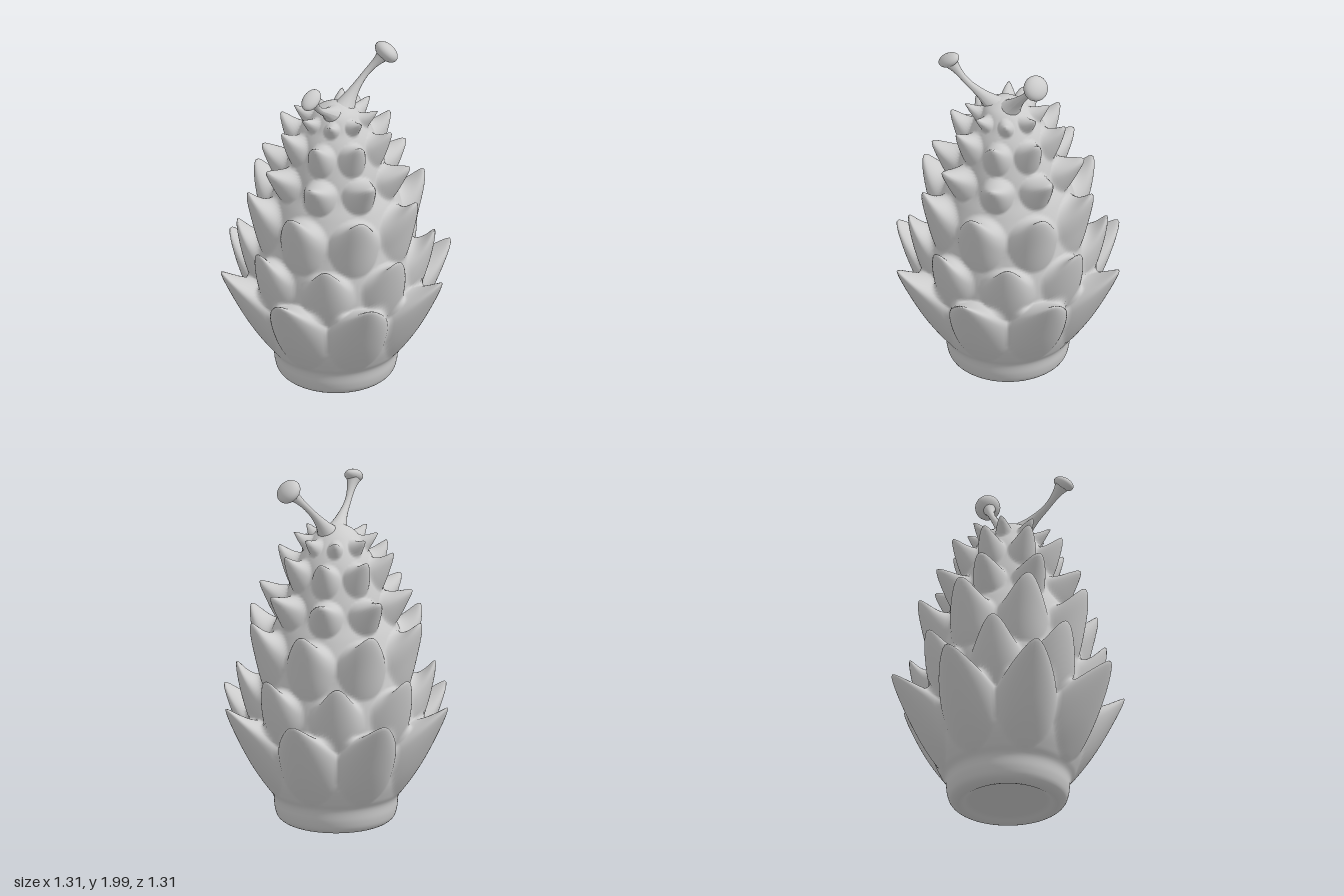
import * as THREE from 'three';

const RAD = Math.PI / 180;
const material = new THREE.MeshStandardMaterial({ color: 0xcccccc });

// Body outline without spikes: [radius, height]
const outline = [
  [0, 0.035], [0.2, 0.03], [0.25, 0.012], [0.28, 0.005], [0.32, 0.03], [0.337, 0.08], [0.345, 0.15],
  [0.375, 0.2], [0.415, 0.3], [0.44, 0.45], [0.445, 0.6], [0.43, 0.75], [0.4, 0.9], [0.385, 1.0],
  [0.34, 1.12], [0.29, 1.22], [0.265, 1.32], [0.24, 1.4], [0.205, 1.5], [0.165, 1.57],
  [0.14, 1.61], [0.1, 1.655], [0.04, 1.685], [0, 1.69],
];

// Eight spikes per tier. y/r: root on the body, tipY/tipR: tip, turn: degrees to the
// first spike, half: half width in degrees, below/above: reach of the root,
// round: bluntness of the tip, curl: how much the spike bends upwards
const tiers = [
  { y: 0.45, r: 0.44, tipY: 0.71, tipR: 0.66, turn: 3, half: 24, below: 0.27, above: 0.17, round: 0.12, curl: 1.1 },
  { y: 0.71, r: 0.437, tipY: 0.905, tipR: 0.55, turn: 25, half: 20, below: 0.2, above: 0.13, round: 0.35, curl: 1.5 },
  { y: 1.0, r: 0.385, tipY: 1.18, tipR: 0.505, turn: 2, half: 22, below: 0.2, above: 0.12, round: 0.3, curl: 1.5 },
  { y: 1.25, r: 0.282, tipY: 1.345, tipR: 0.43, turn: 13, half: 20, below: 0.11, above: 0.08, round: 0.2, curl: 1.3 },
  { y: 1.45, r: 0.222, tipY: 1.555, tipR: 0.325, turn: 10, half: 21, below: 0.11, above: 0.07, round: 0.2, curl: 1.4 },
  { y: 1.595, r: 0.15, tipY: 1.655, tipR: 0.235, turn: 23, half: 17, below: 0.045, above: 0.035, round: 0.05, curl: 1.3 },
];

// 1 at the middle of the nearest spike of a tier, falling to 0 at the edge of its root
function spikeWeight(t, degrees, y) {
  const a = degrees - t.turn;
  const across = (a - 45 * Math.round(a / 45)) / t.half;
  const up = (y - t.y) / (y < t.y ? t.below : t.above);
  const d = Math.hypot(across, up);
  if (d >= 1) return 0;
  const e = t.round;
  const w = 1 - (Math.hypot(d, e) - e) / (Math.hypot(1, e) - e);
  return Math.pow(w, 1.1);
}

// One continuous skin whose spikes are pulled outwards and upwards
function bodyGeometry() {
  const around = 192, rows = 170;
  const curve = new THREE.SplineCurve(outline.map(([r, y]) => new THREE.Vector2(r, y)));
  curve.arcLengthDivisions = 1000;
  const positions = [], index = [];
  curve.getSpacedPoints(rows).forEach((p) => {
    for (let j = 0; j < around; j++) {
      const degrees = (j * 360) / around;
      let r = Math.max(p.x, 0), y = p.y;
      if (p.y > 0.15) {
        for (const t of tiers) {
          const w = spikeWeight(t, degrees, p.y);
          r += (t.tipR - t.r) * Math.pow(w, 0.95);
          y += (t.tipY - t.y) * Math.pow(w, t.curl);
        }
      }
      // the crown leans slightly to the front, where the stalks spread
      const lean = 0.02 * THREE.MathUtils.smoothstep(p.y, 1.55, 1.69);
      positions.push(r * Math.sin(degrees * RAD) + lean * 0.5, y, r * Math.cos(degrees * RAD) + lean);
    }
  });
  for (let i = 0; i < rows; i++) {
    for (let j = 0; j < around; j++) {
      const k = (j + 1) % around;
      const a = i * around + j, b = i * around + k;
      index.push(a, b, b + around, a, b + around, a + around);
    }
  }
  const geometry = new THREE.BufferGeometry();
  geometry.setAttribute('position', new THREE.Float32BufferAttribute(positions, 3));
  geometry.setIndex(index);
  geometry.computeVertexNormals();
  return geometry;
}

// Tube that is wide at the root, thin in the middle and flares into the head
function stalkGeometry(points) {
  const curve = new THREE.CatmullRomCurve3(points.map((p) => new THREE.Vector3(...p)));
  const steps = 28, sides = 14;
  const geometry = new THREE.TubeGeometry(curve, steps, 1, sides);
  const pos = geometry.attributes.position;
  const v = new THREE.Vector3();
  for (let i = 0; i < pos.count; i++) {
    const t = Math.floor(i / (sides + 1)) / steps;
    const centre = curve.getPointAt(t);
    const radius = 0.015 + 0.065 * Math.pow(1 - t, 3.5) + 0.025 * Math.pow(t, 7);
    v.fromBufferAttribute(pos, i).sub(centre).multiplyScalar(radius).add(centre);
    pos.setXYZ(i, v.x, v.y, v.z);
  }
  geometry.computeVertexNormals();
  return geometry;
}

function addMesh(parent, name, geometry) {
  const mesh = new THREE.Mesh(geometry, material);
  mesh.name = name;
  parent.add(mesh);
  return mesh;
}

// Stalk with a flattened knob; axis is the direction the knob faces
function addFeeler(parent, name, path, centre, axis, size) {
  const feeler = new THREE.Group();
  feeler.name = name;
  addMesh(feeler, name + 'Stalk', stalkGeometry(path));
  const head = addMesh(feeler, name + 'Head', new THREE.SphereGeometry(1, 24, 16));
  head.scale.set(...size);
  head.position.set(...centre);
  head.quaternion.setFromUnitVectors(new THREE.Vector3(0, 1, 0), new THREE.Vector3(...axis).normalize());
  parent.add(feeler);
}

export function createModel() {
  const model = new THREE.Group();
  model.name = 'spikyCone';
  addMesh(model, 'spikedBody', bodyGeometry());

  addFeeler(model, 'backFeeler',
    [[0.03, 1.62, -0.01], [0.055, 1.72, -0.085], [0.095, 1.82, -0.165], [0.16, 1.915, -0.235]],
    [0.172, 1.932, -0.25], [0.35, 0.6, -0.6], [0.074, 0.046, 0.07]);
  addFeeler(model, 'frontFeeler',
    [[0.02, 1.62, 0.04], [0.03, 1.695, 0.145], [0.035, 1.76, 0.235], [0.043, 1.86, 0.325]],
    [0.046, 1.876, 0.338], [0.35, 0.8, 0.5], [0.046, 0.032, 0.07]);
  return model;
}
